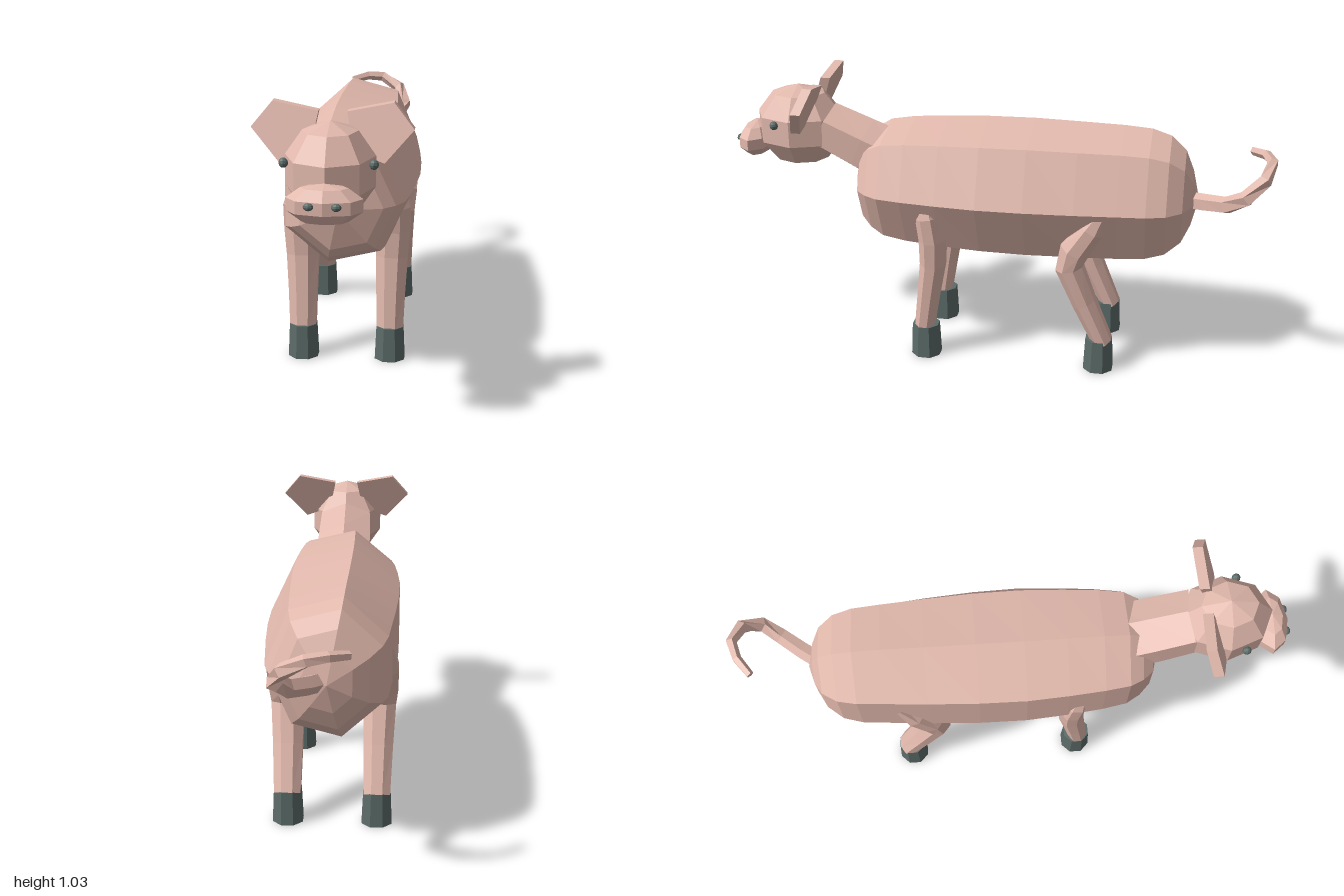
import * as THREE from 'three';

const skin = new THREE.MeshStandardMaterial({ color: 0xe2b9ad, flatShading: true });
const horn = new THREE.MeshStandardMaterial({ color: 0x5c6c69, flatShading: true });

// Skin through polygon rings [x, y, z, ru, rv] set square to the path; ref steers the v axis
function loft(rings, sides, ref, start = 0) {
  const pos = [], index = [];
  const at = rings.map(r => new THREE.Vector3(r[0], r[1], r[2]));
  rings.forEach((r, i) => {
    const t = at[Math.min(i + 1, at.length - 1)].clone().sub(at[Math.max(i - 1, 0)]).normalize();
    const v = ref.clone().addScaledVector(t, -ref.dot(t)).normalize();
    const u = v.clone().cross(t);
    for (let k = 0; k < sides; k++) {
      const a = start + k / sides * Math.PI * 2;
      const p = at[i].clone().addScaledVector(u, Math.cos(a) * r[3]).addScaledVector(v, Math.sin(a) * r[4]);
      pos.push(p.x, p.y, p.z);
      if (i === 0) continue;
      const n = (k + 1) % sides, b = (i - 1) * sides, c = i * sides;
      index.push(b + k, b + n, c + n, b + k, c + n, c + k);
    }
  });
  const g = new THREE.BufferGeometry();
  g.setAttribute('position', new THREE.Float32BufferAttribute(pos, 3));
  g.setIndex(index);
  g.computeVertexNormals();
  return g;
}

export function createModel() {
  const model = new THREE.Group();
  const X = new THREE.Vector3(1, 0, 0), Y = new THREE.Vector3(0, 1, 0), Z = new THREE.Vector3(0, 0, 1);
  const add = (name, geometry, material, x = 0, y = 0, z = 0) => {
    const mesh = new THREE.Mesh(geometry, material);
    mesh.name = name;
    mesh.position.set(x, y, z);
    model.add(mesh);
    return mesh;
  };
  const ball = (rx, ry, rz, w, h) => new THREE.SphereGeometry(1, w, h).scale(rx, ry, rz);

  // Seven-sided barrel body, from tail end to chest: z, half width, half height
  const bodyRings = [
    [-0.73, 0, 0], [-0.705, 0.09, 0.105], [-0.675, 0.15, 0.175], [-0.62, 0.195, 0.225],
    [-0.55, 0.215, 0.247], [-0.45, 0.224, 0.254], [-0.3, 0.238, 0.257], [-0.12, 0.25, 0.26],
    [0.05, 0.253, 0.257], [0.2, 0.243, 0.25], [0.33, 0.23, 0.241], [0.42, 0.215, 0.226],
    [0.47, 0.187, 0.195], [0.508, 0.148, 0.154], [0.55, 0, 0],
  ].map(([z, rx, ry]) => [0, 0.64, z, rx, ry]);
  add('body', loft(bodyRings, 7, Y), skin);

  // Neck
  add('neck', loft([
    [0, 0.71, 0.38, 0.12, 0.115], [0, 0.775, 0.52, 0.12, 0.105], [0, 0.84, 0.66, 0.115, 0.095],
  ], 6, Y, Math.PI / 2), skin);

  // Head and snout
  add('head', ball(0.148, 0.156, 0.17, 8, 5), skin, 0, 0.836, 0.76);
  add('snout', ball(0.122, 0.064, 0.065, 8, 5), skin, 0, 0.776, 0.932);

  // Curled tail
  add('tail', loft([
    [0, 0.635, -0.66, 0.032, 0.034], [0.06, 0.65, -0.75, 0.031, 0.033], [0.115, 0.668, -0.825, 0.029, 0.032],
    [0.148, 0.71, -0.89, 0.027, 0.03], [0.118, 0.77, -0.95, 0.025, 0.027], [0.045, 0.812, -0.976, 0.02, 0.022],
    [-0.02, 0.818, -0.955, 0.017, 0.019], [-0.08, 0.808, -0.91, 0.014, 0.016], [-0.08, 0.808, -0.91, 0, 0],
  ], 5, Y), skin);

  // Leg paths: y, z, half width, half depth, offset from the model's middle
  const legs = {
    front: { hoof: 0.257, path: [
      [0.64, 0.25, 0.05, 0.03, 0.155], [0.57, 0.235, 0.066, 0.05, 0.166], [0.48, 0.222, 0.066, 0.052, 0.165],
      [0.38, 0.224, 0.062, 0.049, 0.161], [0.25, 0.243, 0.056, 0.043, 0.159], [0.11, 0.262, 0.051, 0.038, 0.158]] },
    back: { hoof: -0.4, path: [
      [0.66, -0.41, 0.05, 0.02, 0.165], [0.57, -0.36, 0.066, 0.052, 0.168], [0.48, -0.302, 0.067, 0.058, 0.166],
      [0.41, -0.284, 0.063, 0.053, 0.163], [0.27, -0.342, 0.057, 0.046, 0.16], [0.11, -0.415, 0.051, 0.038, 0.158]] },
  };

  // Ear outline, seen from the front
  const outline = [[0.045, 1.005], [0.06, 0.93], [0.11, 0.875], [0.165, 0.855], [0.255, 0.955], [0.19, 1.033]];

  for (const s of [1, -1]) {
    const side = s > 0 ? 'left' : 'right';

    for (const [end, leg] of Object.entries(legs)) {
      const rings = leg.path.map(([y, z, rx, rz, x]) => [s * x, y, z, rx, rz]);
      add(`${side} ${end} leg`, loft(rings, 8, Z, Math.PI / 8), skin);
      add(`${side} ${end} hoof`, new THREE.CylinderGeometry(0.052, 0.058, 0.125, 8).rotateY(Math.PI / 8),
        horn, s * 0.158, 0.0625, leg.hoof);
    }

    // Flat ear leaning back towards its top
    const shape = new THREE.Shape(outline.map(([x, y]) => new THREE.Vector2(s * x, y)));
    const ear = new THREE.ExtrudeGeometry(shape, { depth: 0.036, bevelEnabled: false });
    const p = ear.attributes.position;
    for (let i = 0; i < p.count; i++) p.setZ(i, p.getZ(i) + 0.707 - (p.getY(i) - 0.855) * 0.36);
    ear.computeVertexNormals();
    add(`${side} ear`, ear, skin);

    add(`${side} eye`, ball(0.015, 0.016, 0.016, 8, 6), horn, s * 0.138, 0.87, 0.815);
    add(`${side} nostril`, ball(0.016, 0.012, 0.013, 8, 6), horn, s * 0.041, 0.783, 0.987);
  }
  return model;
}
